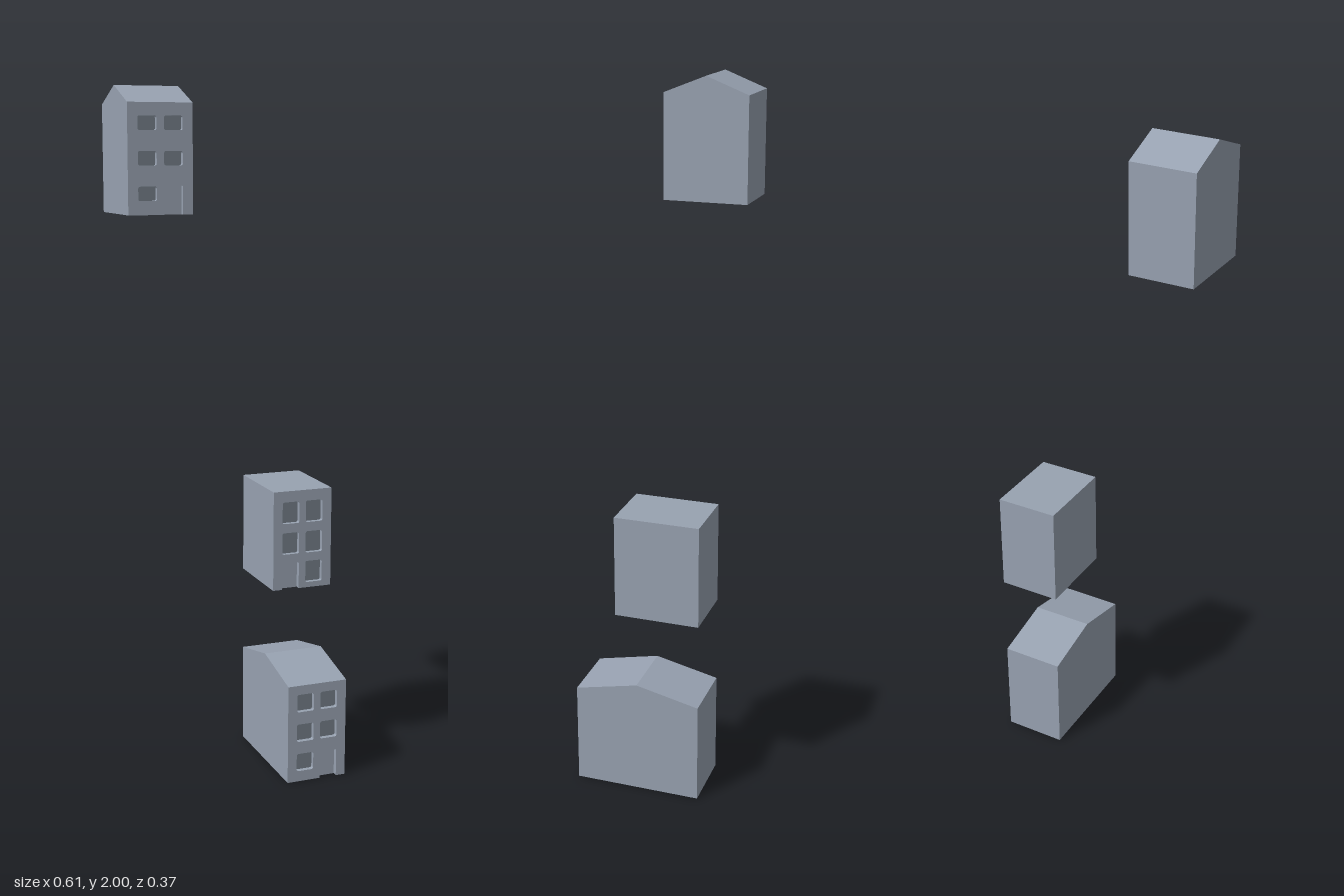
import * as THREE from 'three';

const wallMat = new THREE.MeshStandardMaterial({ color: 0x98a2b1, flatShading: true });
const paneMat = new THREE.MeshStandardMaterial({ color: 0x737c87 });

const WIDTH = 0.184, WALL = 0.298, RECESS = 0.015;
const OPENING = 0.053;          // width of every window and door
const COLUMN = 0.037;           // distance of the opening centres from the middle

function addMesh(parent, name, geometry, material) {
  const mesh = new THREE.Mesh(geometry, material);
  mesh.name = name;
  parent.add(mesh);
  return mesh;
}

// Trace a rounded rectangle centred on cx, standing on y
function roundedRect(target, cx, y, w, h, r) {
  const l = cx - w / 2, R = cx + w / 2, t = y + h;
  target.moveTo(l + r, y);
  target.lineTo(R - r, y);
  target.quadraticCurveTo(R, y, R, y + r);
  target.lineTo(R, t - r);
  target.quadraticCurveTo(R, t, R - r, t);
  target.lineTo(l + r, t);
  target.quadraticCurveTo(l, t, l, t - r);
  target.lineTo(l, y + r);
  target.quadraticCurveTo(l, y, l + r, y);
  return target;
}

// One house; its origin is the middle of the ground edge of the back wall
function createHouse({ name, x, y, depth, ridge, doorSide, doorHeight, sills, windowHeight }) {
  const house = new THREE.Group();
  house.name = name;
  const inner = depth - RECESS;

  // Body with gable roof: side profile (z, y) extruded across the width
  const profile = [[0, 0], [inner, 0], [inner, WALL]];
  if (ridge > 0) profile.push([depth, WALL], [depth / 2, WALL + ridge]);
  profile.push([0, WALL]);
  const bodyShape = new THREE.Shape(profile.map(([z, h]) => new THREE.Vector2(-z, h)));
  const body = new THREE.ExtrudeGeometry(bodyShape, { depth: WIDTH, bevelEnabled: false });
  body.rotateY(Math.PI / 2).translate(-WIDTH / 2, 0, 0);
  addMesh(house, 'bodyAndRoof', body, wallMat);

  // Front wall outline, notched at the bottom for the door
  const doorX = doorSide * COLUMN, half = WIDTH / 2, r = 0.003;
  const a = doorX - OPENING / 2, b = doorX + OPENING / 2;
  const front = new THREE.Shape();
  front.moveTo(-half, 0);
  front.lineTo(a, 0);
  front.lineTo(a, doorHeight - r);
  front.quadraticCurveTo(a, doorHeight, a + r, doorHeight);
  front.lineTo(b - r, doorHeight);
  front.quadraticCurveTo(b, doorHeight, b, doorHeight - r);
  front.lineTo(b, 0);
  front.lineTo(half, 0);
  front.lineTo(half, WALL);
  front.lineTo(-half, WALL);
  front.closePath();

  // Two columns of windows; the door takes one place on the ground floor
  sills.forEach((sill, floor) => {
    for (const side of [-1, 1]) {
      if (floor === 0 && side === doorSide) continue;
      const args = [side * COLUMN, sill, OPENING, windowHeight, 0.006];
      front.holes.push(roundedRect(new THREE.Path(), ...args));
      const pane = new THREE.ShapeGeometry(roundedRect(new THREE.Shape(), ...args), 4);
      addMesh(house, 'windowPane', pane, paneMat).position.z = inner + 0.001;
    }
  });
  const wall = new THREE.ExtrudeGeometry(front, { depth: RECESS, bevelEnabled: false, curveSegments: 4 });
  addMesh(house, 'frontWall', wall, wallMat).position.z = inner;

  house.position.set(x, y, -0.184);
  return house;
}

export function createModel() {
  const model = new THREE.Group();
  model.name = 'houses';
  model.add(
    createHouse({
      name: 'upperGabledHouse', x: -0.214, y: 1.654, depth: 0.246, ridge: 0.048,
      doorSide: 1, doorHeight: 0.08, sills: [0.038, 0.132, 0.225], windowHeight: 0.038,
    }),
    createHouse({
      name: 'flatRoofHouse', x: 0.214, y: 0.554, depth: 0.246, ridge: 0,
      doorSide: -1, doorHeight: 0.08, sills: [0.016, 0.107, 0.2], windowHeight: 0.065,
    }),
    createHouse({
      name: 'deepGabledHouse', x: 0.214, y: 0, depth: 0.368, ridge: 0.041,
      doorSide: 1, doorHeight: 0.083, sills: [0.032, 0.124, 0.216], windowHeight: 0.054,
    }),
  );
  return model;
}
